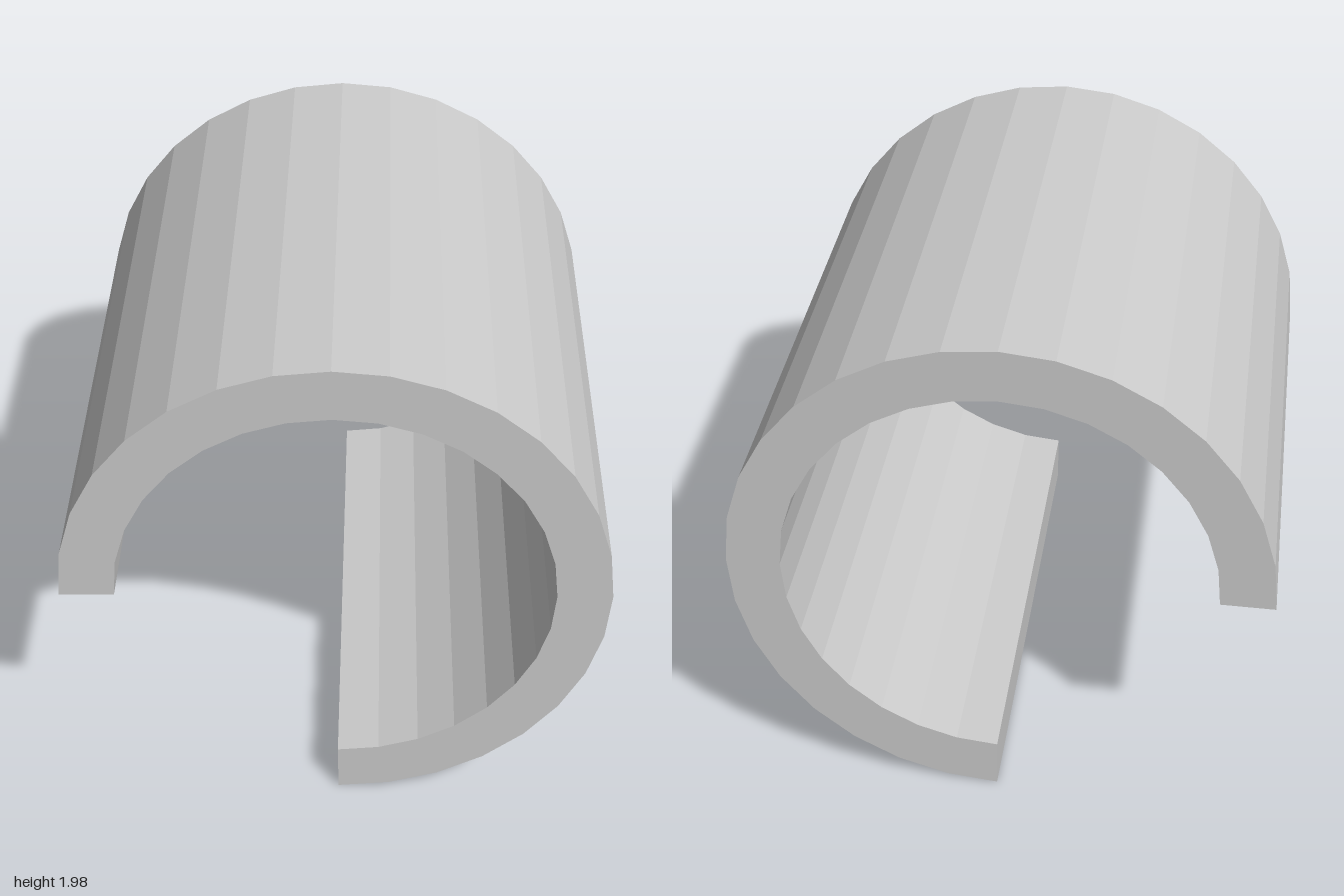
import * as THREE from 'three';

const OUTER = 0.988, INNER = 0.79, LENGTH = 1.976;
const SEGMENTS = 24, ARC = Math.PI * 1.5, TILT = 0.0117;

// points along a faceted arc from the bottom, round the +x side, to the -x side
function arcPoints(radius) {
  return Array.from({ length: SEGMENTS + 1 }, (_, i) => {
    const a = -Math.PI / 2 + (ARC * i) / SEGMENTS;
    return new THREE.Vector2(radius * Math.cos(a), radius * Math.sin(a));
  });
}

export function createModel() {
  const model = new THREE.Group();
  model.name = 'openPipe';

  // three-quarter ring section, extruded along the pipe axis
  const section = new THREE.Shape([...arcPoints(OUTER), ...arcPoints(INNER).reverse()]);
  const geometry = new THREE.ExtrudeGeometry(section, { depth: LENGTH, bevelEnabled: false });
  geometry.translate(0, 0, -LENGTH / 2);

  const material = new THREE.MeshStandardMaterial({ color: 0xcccccc, flatShading: true });
  const pipe = new THREE.Mesh(geometry, material);
  pipe.name = 'pipeWall';

  // slight roll and yaw of the whole section
  pipe.rotation.set(0, TILT, TILT, 'YXZ');
  pipe.position.y = OUTER;
  model.add(pipe);
  return model;
}
